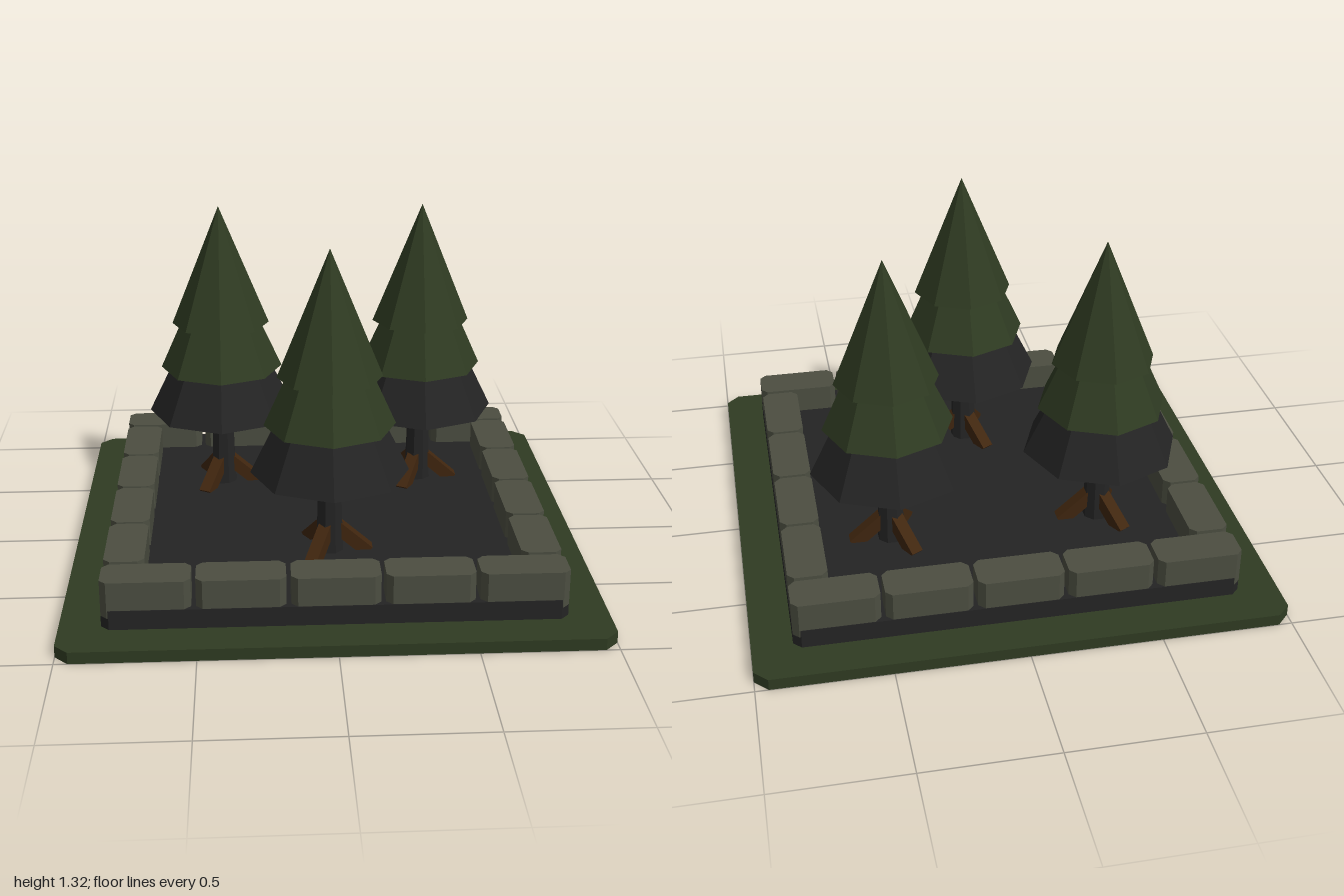
import * as THREE from 'three';

const mat = (name, color) => {
  const m = new THREE.MeshStandardMaterial({ color, flatShading: true });
  m.name = name;
  return m;
};

// Upright block whose four vertical corners are cut off
function cutBlock(w, d, cut, y0, y1) {
  const x = w / 2, z = d / 2;
  const shape = new THREE.Shape([
    [x, -z + cut], [x, z - cut], [x - cut, z], [-x + cut, z],
    [-x, z - cut], [-x, -z + cut], [-x + cut, -z], [x - cut, -z],
  ].map(([a, b]) => new THREE.Vector2(a, b)));
  const g = new THREE.ExtrudeGeometry(shape, { depth: y1 - y0, bevelEnabled: false });
  return g.rotateX(-Math.PI / 2).translate(0, y0, 0);
}

export function createModel() {
  const grass = mat('grass green', 0x2f3b22);
  const soil = mat('charcoal', 0x242424);
  const stone = mat('grey stone', 0x4c4e41);
  const needles = mat('pine green', 0x2f3b22);
  const bark = mat('root brown', 0x40260f);

  const model = new THREE.Group();
  model.name = 'treePlanter';
  const add = (parent, name, geo, material) => {
    const m = new THREE.Mesh(geo, material);
    m.name = name;
    parent.add(m);
    return m;
  };

  // Base and bed
  add(model, 'grassBase', cutBlock(2, 2, 0.05, 0, 0.045), grass);
  add(model, 'soilBed', cutBlock(1.694, 1.694, 0.03, 0.045, 0.12), soil);

  // Stone border: five along front and back, four along each side
  const border = new THREE.Group();
  border.name = 'stoneBorder';
  model.add(border);
  const pitch = 0.342;
  const longStone = cutBlock(0.325, 0.15, 0.024, 0.09, 0.23);
  const sideStone = cutBlock(0.15, 0.328, 0.024, 0.09, 0.23);
  for (const s of [-1, 1]) {
    for (let i = -2; i <= 2; i++)
      add(border, s > 0 ? 'frontStone' : 'backStone', longStone, stone).position.set(i * pitch, 0, s * 0.77);
    for (let i = -1.5; i <= 1.5; i++)
      add(border, s > 0 ? 'leftStone' : 'rightStone', sideStone, stone).position.set(s * 0.77, 0, i * pitch);
  }

  // Tree tiers: name, bottom y, top y, bottom radius, top radius, material
  const tiers = [
    ['lowerBranches', 0.445, 0.645, 0.303, 0.205, soil],
    ['middleBranches', 0.635, 0.835, 0.25, 0.16, needles],
    ['topBranches', 0.825, 1.315, 0.199, 0, needles],
  ];
  for (const [x, z] of [[-0.415, -0.325], [0.415, -0.325], [0, 0.372]]) {
    const tree = new THREE.Group();
    tree.name = 'tree';
    tree.position.set(x, 0, z);
    model.add(tree);

    for (const [name, y0, y1, r0, r1, m] of tiers)
      add(tree, name, new THREE.CylinderGeometry(r1, r0, y1 - y0, 8).translate(0, (y0 + y1) / 2, 0), m);

    add(tree, 'trunk', new THREE.CylinderGeometry(0.044, 0.056, 0.37, 8)
      .rotateY(Math.PI / 8).translate(0, 0.275, 0), soil);

    // Three sloping roots spread evenly around the trunk
    for (let i = 0; i < 3; i++) {
      const root = add(tree, 'root', new THREE.BoxGeometry(0.17, 0.05, 0.05)
        .rotateZ(-0.72).translate(0.085, 0.165, 0), bark);
      root.rotation.y = i * Math.PI * 2 / 3;
    }
  }
  return model;
}
